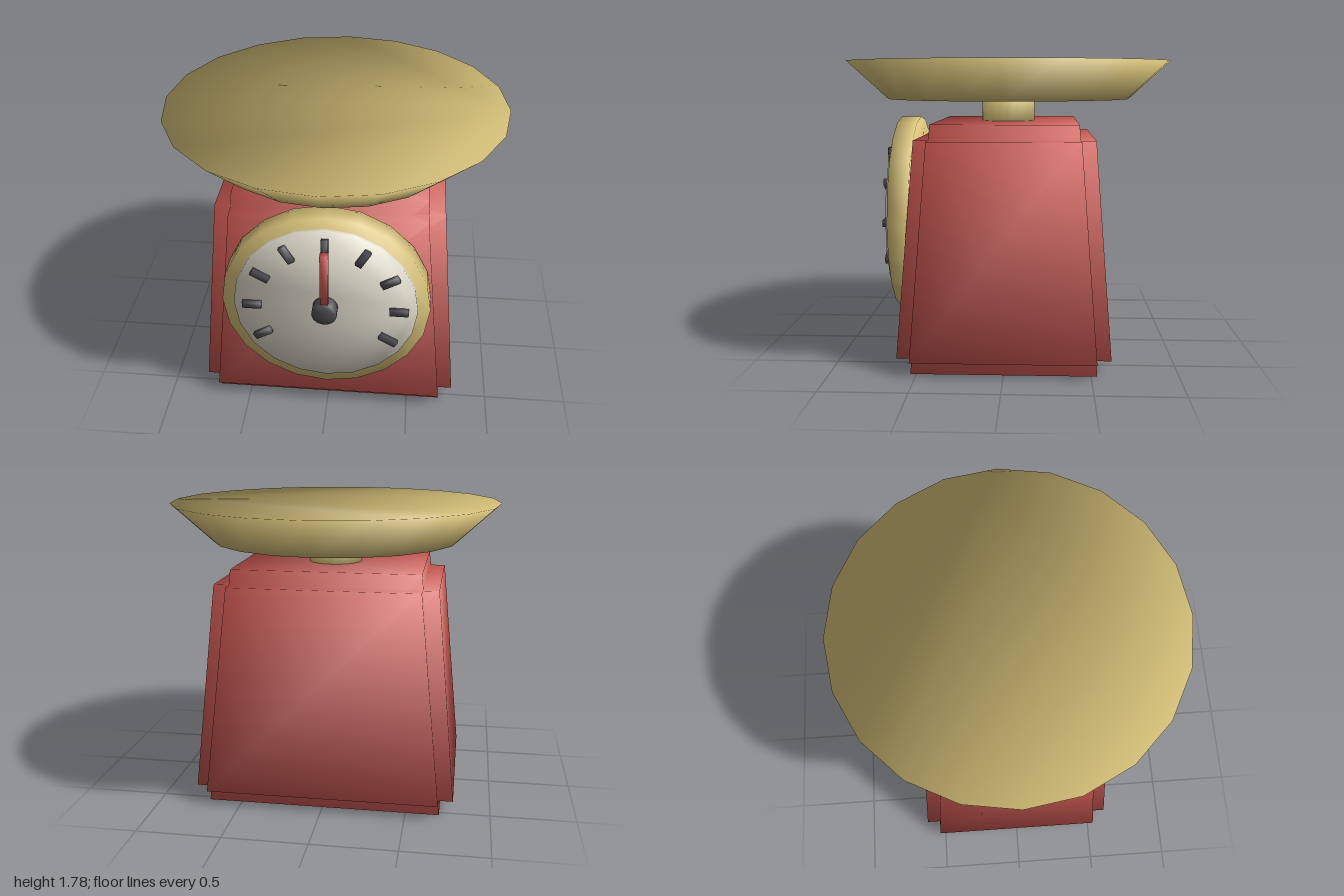
import * as THREE from 'three';

const mat = (name, color) => {
  const m = new THREE.MeshStandardMaterial({ color });
  m.name = name;
  return m;
};

// Rings of [x, z] corners, running anticlockwise as seen from above
const circle = (r, n = 20) => Array.from({ length: n }, (_, i) => {
  const t = (i / n) * Math.PI * 2;
  return [r * Math.cos(t), -r * Math.sin(t)];
});
const rect = (x, z) => [[x, z], [x, -z], [-x, -z], [-x, z]];

// Closed solid between two rings, with corners shared so it shades smoothly
function loft(bottom, y0, top, y1) {
  const n = bottom.length;
  const pts = [
    ...bottom.map(([x, z]) => new THREE.Vector3(x, y0, z)),
    ...top.map(([x, z]) => new THREE.Vector3(x, y1, z)),
  ];
  const index = [];
  for (let i = 0; i < n; i++) {
    const j = (i + 1) % n;
    index.push(i, j, n + j, i, n + j, n + i);
    if (i > 0 && i < n - 1) index.push(0, i + 1, i, n, n + i, n + i + 1);
  }
  // Corner normals weighted by the angle of each face
  const normals = pts.map(() => new THREE.Vector3());
  for (let f = 0; f < index.length; f += 3) {
    const tri = index.slice(f, f + 3);
    tri.forEach((v, k) => {
      const a = pts[tri[(k + 1) % 3]].clone().sub(pts[v]);
      const b = pts[tri[(k + 2) % 3]].clone().sub(pts[v]);
      const normal = a.clone().cross(b).normalize();
      normals[v].addScaledVector(normal, a.angleTo(b));
    });
  }
  normals.forEach((v) => v.normalize());
  const g = new THREE.BufferGeometry().setFromPoints(pts);
  g.setAttribute('normal', new THREE.Float32BufferAttribute(normals.flatMap((v) => v.toArray()), 3));
  g.setIndex(index);
  return g;
}

// Disc and bar facing the front, spanning z0 to z1
const disc = (r, z0, z1) => loft(circle(r), z0, circle(r), z1).rotateX(Math.PI / 2);
const bar = (w, h, z0, z1) =>
  loft(rect(w / 2, h / 2), z0, rect(w / 2, h / 2), z1).rotateX(Math.PI / 2);

export function createModel() {
  const red = mat('red enamel', 0xcb5750);
  const brass = mat('brass', 0xd9c47a);
  const cream = mat('cream dial', 0xe0dccd);
  const dark = mat('dark grey', 0x4e4e52);

  const model = new THREE.Group();
  model.name = 'kitchenScale';
  const add = (parent, name, geometry, material) => {
    const mesh = new THREE.Mesh(geometry, material);
    mesh.name = name;
    parent.add(mesh);
    return mesh;
  };

  // Tapered body: a tall core with a wide slab and a deep slab crossing it
  const body = new THREE.Group();
  body.name = 'body';
  model.add(body);
  add(body, 'bodyCore', loft(rect(0.7, 0.535), 0, rect(0.56, 0.425), 1.42), red);
  add(body, 'bodyWideSlab', loft(rect(0.78, 0.53), 0.09, rect(0.66, 0.435), 1.33), red);
  add(body, 'bodyDeepSlab', loft(rect(0.695, 0.615), 0.09, rect(0.565, 0.52), 1.33), red);

  // Neck and weighing pan
  add(model, 'neck', loft(circle(0.163), 1.38, circle(0.163), 1.56), brass);
  add(model, 'pan', loft(circle(0.75), 1.555, circle(1), 1.785), brass);

  // Dial on the front
  const dial = new THREE.Group();
  dial.name = 'dial';
  dial.position.y = 0.837;
  model.add(dial);
  add(dial, 'dialRim', disc(0.603, 0.55, 0.672), brass);
  add(dial, 'dialFace', disc(0.533, 0.64, 0.692), cream);

  // Nine marks, open at the bottom
  for (let deg = -30; deg <= 210; deg += 30) {
    const a = THREE.MathUtils.degToRad(deg);
    const mark = add(dial, 'dialMark', bar(0.11, 0.04, 0.685, 0.72), dark);
    mark.position.set(0.425 * Math.cos(a), 0.425 * Math.sin(a), 0);
    mark.rotation.z = a;
  }

  // Needle and hub
  const needle = add(dial, 'needle', bar(0.046, 0.36, 0.72, 0.762), red);
  needle.position.y = 0.228;
  add(dial, 'needleHub', disc(0.073, 0.68, 0.764), dark);

  return model;
}
